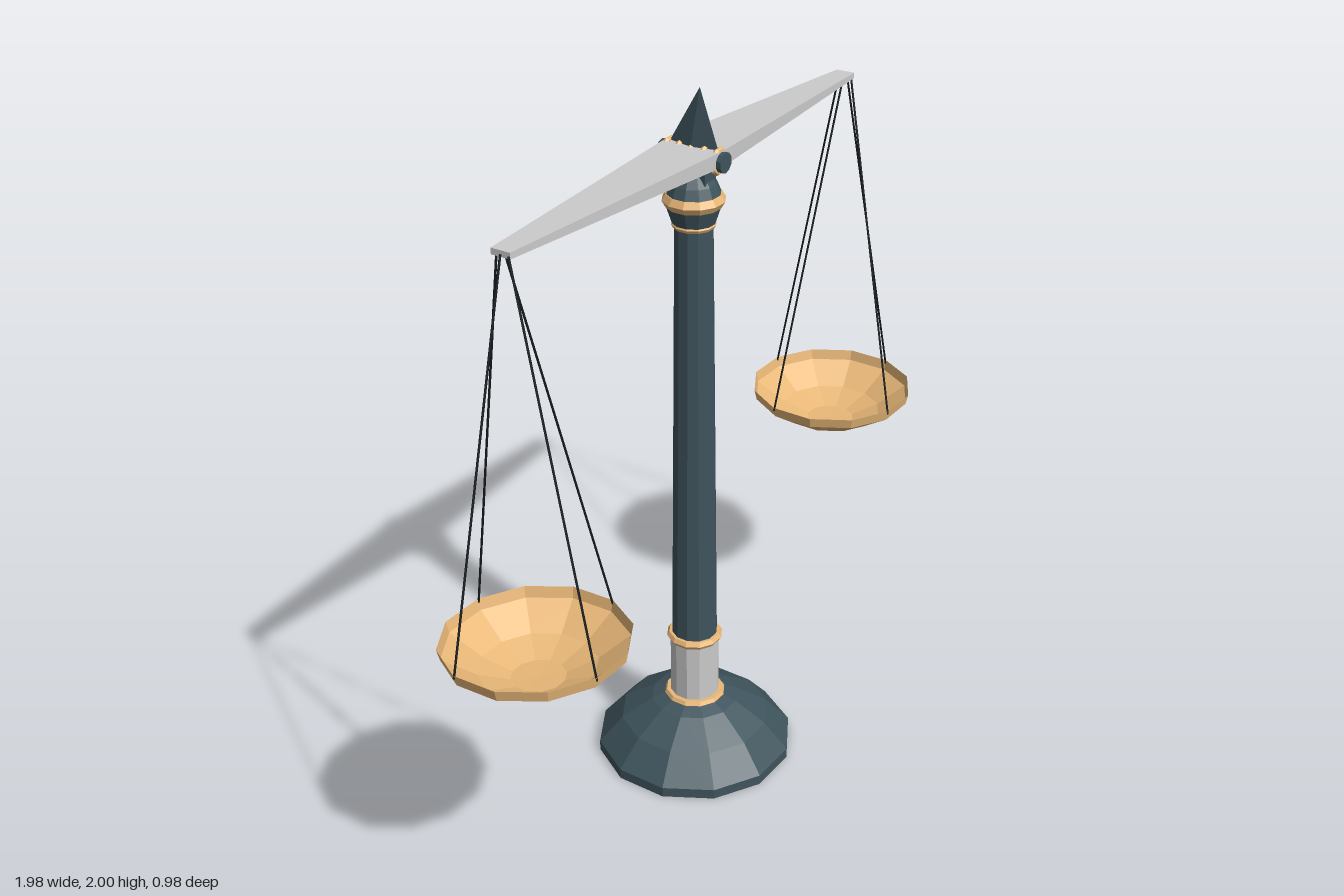
import * as THREE from 'three';

const mat = (color, side = THREE.FrontSide) =>
  new THREE.MeshStandardMaterial({ color, flatShading: true, side });
const dark = mat(0x3f545d), gold = mat(0xe9b878), goldThin = mat(0xe9b878, THREE.DoubleSide);
const grey = mat(0xcccccc), black = mat(0x151a1c);

const AXIS_Z = -0.03;   // the column stands slightly behind the centre
const TURN = 0.272;     // yaw of beam and pivot
const BEAM_Y = 1.827;

function add(parent, name, geometry, material, x = 0, y = 0, z = 0) {
  const mesh = new THREE.Mesh(geometry, material);
  mesh.name = name;
  mesh.position.set(x, y, z);
  parent.add(mesh);
  return mesh;
}

const lathe = (points) =>
  new THREE.LatheGeometry(points.map(([r, y]) => new THREE.Vector2(r, y)), 12);

// Thin cord between two points
function cord(parent, from, to) {
  const dir = to.clone().sub(from);
  const mesh = add(parent, 'cord', new THREE.CylinderGeometry(0.003, 0.003, dir.length(), 5), black);
  mesh.position.copy(from).add(to).multiplyScalar(0.5);
  mesh.quaternion.setFromUnitVectors(new THREE.Vector3(0, 1, 0), dir.normalize());
}

// Bowl hung on four cords from one end of the beam
function createPan(name, center, tilt, end) {
  const group = new THREE.Group();
  group.name = name;
  const bowl = add(group, 'bowl', lathe([
    [0, 0], [0.07, 0.002], [0.15, 0.03], [0.233, 0.085], [0.24, 0.115],
  ]), goldThin);
  bowl.position.copy(center);
  bowl.rotation.x = tilt;
  bowl.updateMatrix();
  for (const [dx, dz] of [[1, 0], [-1, 0], [0, 1], [0, -1]]) {
    const rim = new THREE.Vector3(dx * 0.239, 0.105, dz * 0.239).applyMatrix4(bowl.matrix);
    cord(group, rim, end.clone().add(new THREE.Vector3(dx * 0.006, 0, dz * 0.022)));
  }
  return group;
}

export function createModel() {
  const model = new THREE.Group();
  model.name = 'balanceScale';

  const stand = new THREE.Group();
  stand.name = 'stand';
  stand.position.z = AXIS_Z;
  model.add(stand);

  // Foot, sleeve, shaft and capital
  add(stand, 'foot', lathe([
    [0, 0], [0.283, 0], [0.283, 0.03], [0.215, 0.107], [0.125, 0.165], [0.07, 0.185], [0, 0.185],
  ]), dark);
  add(stand, 'sleeve', new THREE.CylinderGeometry(0.07, 0.07, 0.2, 12), grey, 0, 0.28);
  add(stand, 'shaft', new THREE.CylinderGeometry(0.051, 0.065, 1.27, 12), dark, 0, 1.01);
  add(stand, 'capital', lathe([
    [0, 1.63], [0.052, 1.63], [0.072, 1.69], [0.072, 1.72], [0.06, 1.75], [0.04, 1.782], [0, 1.782],
  ]), dark);

  // Gold rings around the column: height, radius, tube
  for (const [y, r, tube] of [[0.18, 0.076, 0.012], [0.38, 0.067, 0.013], [1.64, 0.049, 0.01], [1.706, 0.063, 0.02]]) {
    add(stand, 'columnRing', new THREE.TorusGeometry(r, tube, 6, 12).rotateX(Math.PI / 2), gold, 0, y);
  }

  // Pivot: axle with rings and a blade-like finial
  const pivot = new THREE.Group();
  pivot.name = 'pivot';
  pivot.position.set(0, 1.82, AXIS_Z);
  pivot.rotation.y = TURN;
  model.add(pivot);
  add(pivot, 'axle', new THREE.CylinderGeometry(0.027, 0.027, 0.19, 10).rotateX(Math.PI / 2), dark);
  add(pivot, 'axleSeat', new THREE.BoxGeometry(0.05, 0.06, 0.1), dark, 0, -0.035);
  for (let i = -2; i <= 2; i++) {
    add(pivot, 'axleRing', new THREE.TorusGeometry(0.028, 0.009, 6, 10), gold, 0, 0, i * 0.037);
  }
  const spike = new THREE.ConeGeometry(1, 0.16, 4).scale(0.016, 1, 0.075);
  const p = spike.attributes.position;
  for (let i = 0; i < p.count; i++) {
    if (p.getY(i) > 0) p.setZ(i, p.getZ(i) + 0.018);
  }
  add(pivot, 'finial', spike, dark, 0, 0.1);

  // Beam tapering from the middle to both ends
  const beamGeo = new THREE.BoxGeometry(1.536, 1, 1, 2, 1, 1);
  const b = beamGeo.attributes.position;
  for (let i = 0; i < b.count; i++) {
    const t = Math.abs(b.getX(i)) / 0.768;
    b.setY(i, b.getY(i) * THREE.MathUtils.lerp(0.042, 0.016, t));
    b.setZ(i, b.getZ(i) * THREE.MathUtils.lerp(0.168, 0.054, t));
  }
  const beam = add(model, 'beam', beamGeo, grey, 0, BEAM_Y, AXIS_Z);
  beam.rotation.set(0, TURN, -0.009);

  // Pans
  model.add(createPan('rightPan', new THREE.Vector3(-0.748, 0.74, 0.25), -0.045,
    new THREE.Vector3(-0.738, 1.835, 0.182)));
  model.add(createPan('leftPan', new THREE.Vector3(0.745, 0.726, -0.25), 0,
    new THREE.Vector3(0.738, 1.82, -0.235)));

  return model;
}
